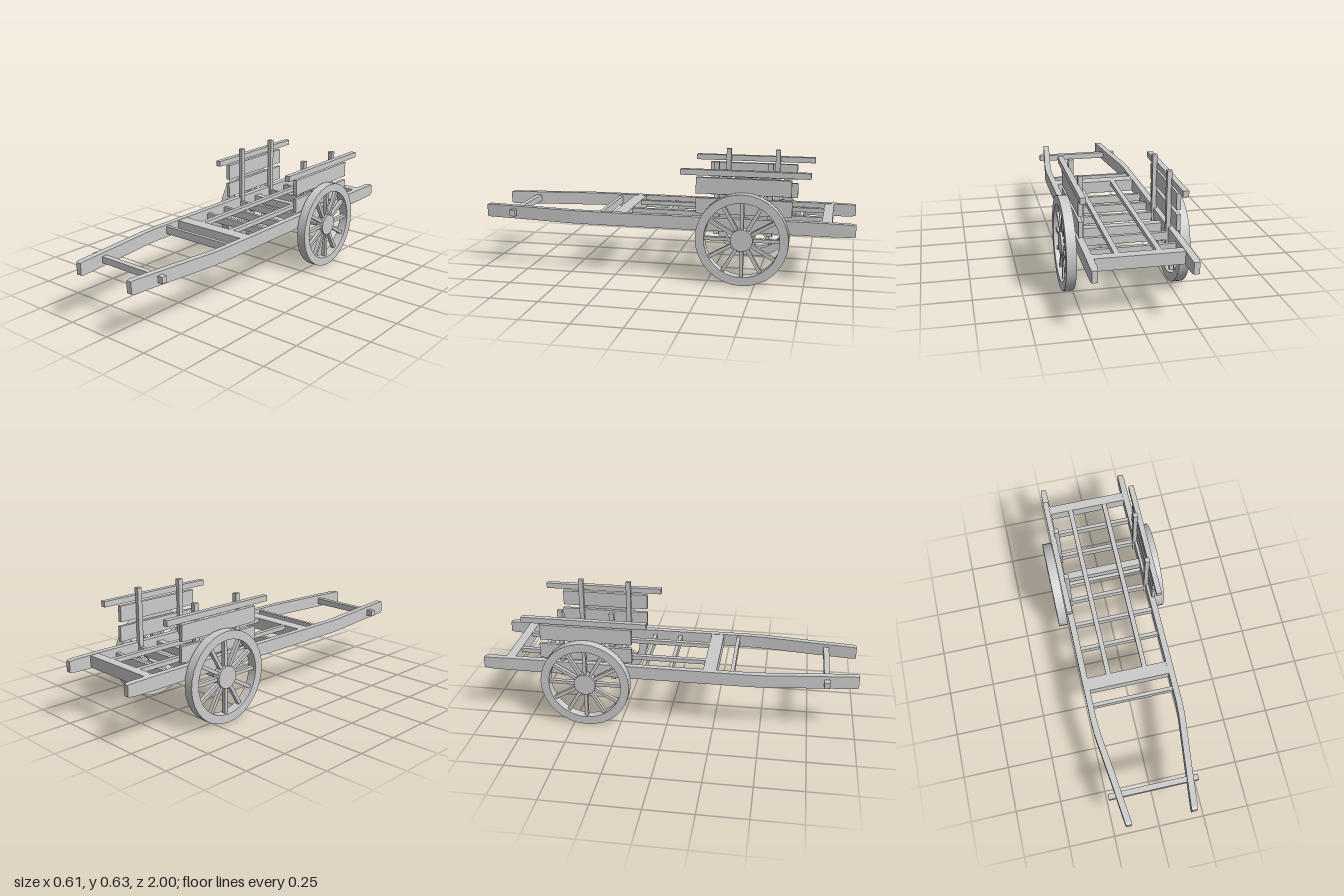
import * as THREE from 'three';
import { toCreasedNormals } from 'three/addons/utils/BufferGeometryUtils.js';

const wood = new THREE.MeshStandardMaterial({ color: 0xcccccc });

function add(parent, name, geometry) {
  const mesh = new THREE.Mesh(geometry, wood);
  mesh.name = name;
  parent.add(mesh);
  return mesh;
}

// Beam given by its [min, max] extents on each axis
function beam(parent, name, [x0, x1], [y0, y1], [z0, z1]) {
  const mesh = add(parent, name, new THREE.BoxGeometry(x1 - x0, y1 - y0, z1 - z0));
  mesh.position.set((x0 + x1) / 2, (y0 + y1) / 2, (z0 + z1) / 2);
  return mesh;
}

// Rectangular sections [z, centre x, half width, half height] joined along z
function railGeometry(stations, side) {
  const pos = [], index = [];
  for (const [z, x, w, h] of stations)
    for (const [sx, sy] of [[-1, -1], [1, -1], [1, 1], [-1, 1]])
      pos.push(side * x + sx * w, 0.305 + sy * h, z);
  const n = stations.length;
  for (let i = 0; i < n - 1; i++)
    for (let j = 0; j < 4; j++) {
      const a = i * 4 + j, b = i * 4 + (j + 1) % 4;
      index.push(a, b, b + 4, a, b + 4, a + 4);
    }
  const e = (n - 1) * 4;
  index.push(0, 2, 1, 0, 3, 2, e, e + 1, e + 2, e, e + 2, e + 3);
  const g = new THREE.BufferGeometry();
  g.setAttribute('position', new THREE.Float32BufferAttribute(pos, 3));
  g.setIndex(index);
  return toCreasedNormals(g, 0.2);
}

const RAIL = [
  [-1, 0.232, 0.014, 0.029], [-0.97, 0.232, 0.017, 0.033], [-0.85, 0.232, 0.017, 0.035],
  [0.42, 0.234, 0.016, 0.035], [0.5, 0.23, 0.017, 0.035], [0.75, 0.2, 0.017, 0.035],
  [0.985, 0.174, 0.017, 0.035], [1, 0.172, 0.015, 0.031],
];

// Wheel centred on its own origin, turning about x
function makeWheel(name) {
  const wheel = new THREE.Group();
  wheel.name = name;
  const profile = [[0.195, -0.025], [0.24, -0.025], [0.24, 0.025], [0.195, 0.025], [0.195, -0.025]]
    .map(([r, y]) => new THREE.Vector2(r, y));
  const rim = add(wheel, 'rim', toCreasedNormals(new THREE.LatheGeometry(profile, 32), 0.5));
  rim.rotation.z = Math.PI / 2;
  const hub = add(wheel, 'hub', new THREE.CylinderGeometry(0.058, 0.058, 0.044, 24));
  hub.rotation.z = Math.PI / 2;
  for (let i = 0; i < 12; i++) {
    const a = i * Math.PI / 6;
    const spoke = add(wheel, 'spoke', new THREE.BoxGeometry(0.022, 0.16, 0.018));
    spoke.position.set(0, Math.cos(a) * 0.125, Math.sin(a) * 0.125);
    spoke.rotation.x = a;
  }
  return wheel;
}

export function createModel() {
  const cart = new THREE.Group();
  cart.name = 'handcart';

  // Long side rails converging into the pulling shafts
  for (const s of [1, -1]) add(cart, s > 0 ? 'leftRail' : 'rightRail', railGeometry(RAIL, s));

  // Frame: end beams, rungs and the two lengthwise slats
  const inner = [-0.222, 0.222];
  beam(cart, 'rearBeam', inner, [0.275, 0.338], [-0.88, -0.83]);
  beam(cart, 'frontBeam', inner, [0.272, 0.338], [0.19, 0.26]);
  for (const z of [-0.715, -0.57, -0.285, -0.135, 0.01])
    beam(cart, 'rung', inner, [0.275, 0.316], [z - 0.01, z + 0.01]);
  beam(cart, 'axleRung', inner, [0.272, 0.316], [-0.455, -0.415]);
  beam(cart, 'shaftRung', inner, [0.288, 0.33], [0.332, 0.352]);
  for (const x of [-0.102, 0.098])
    beam(cart, 'floorSlat', [x - 0.013, x + 0.013], [0.314, 0.337], [-0.84, 0.2]);

  // Pull bar pegged through the shafts
  beam(cart, 'pullBar', [-0.245, 0.235], [0.288, 0.322], [0.82, 0.85]);

  // Side walls
  for (const s of [1, -1]) {
    const wall = new THREE.Group();
    wall.name = s > 0 ? 'leftWall' : 'rightWall';
    const across = (a, b) => s > 0 ? [a, b] : [-b, -a];
    for (const z of [-0.29, -0.565])
      beam(wall, 'post', across(0.206, 0.231), [0.25, 0.63], [z - 0.013, z + 0.013]);
    beam(wall, 'lowerBoard', across(0.228, 0.247), [0.36, 0.442], [-0.68, -0.185]);
    beam(wall, 'upperBoard', across(0.226, 0.248), [0.465, 0.549], [-0.675, -0.185]);
    beam(wall, 'topRail', across(0.227, 0.256), [0.561, 0.591], [-0.77, -0.105]);
    cart.add(wall);
  }

  // Axle, its bracket, and wheels
  const axle = add(cart, 'axle', new THREE.CylinderGeometry(0.022, 0.022, 0.52, 20));
  axle.rotation.z = Math.PI / 2;
  axle.position.set(0, 0.24, -0.432);
  beam(cart, 'axleBracket', [-0.252, -0.225], [0.213, 0.272], [-0.457, -0.407]);
  for (const s of [1, -1]) {
    const wheel = makeWheel(s > 0 ? 'leftWheel' : 'rightWheel');
    wheel.position.set(s * 0.28, 0.24, -0.432);
    cart.add(wheel);
  }
  return cart;
}
